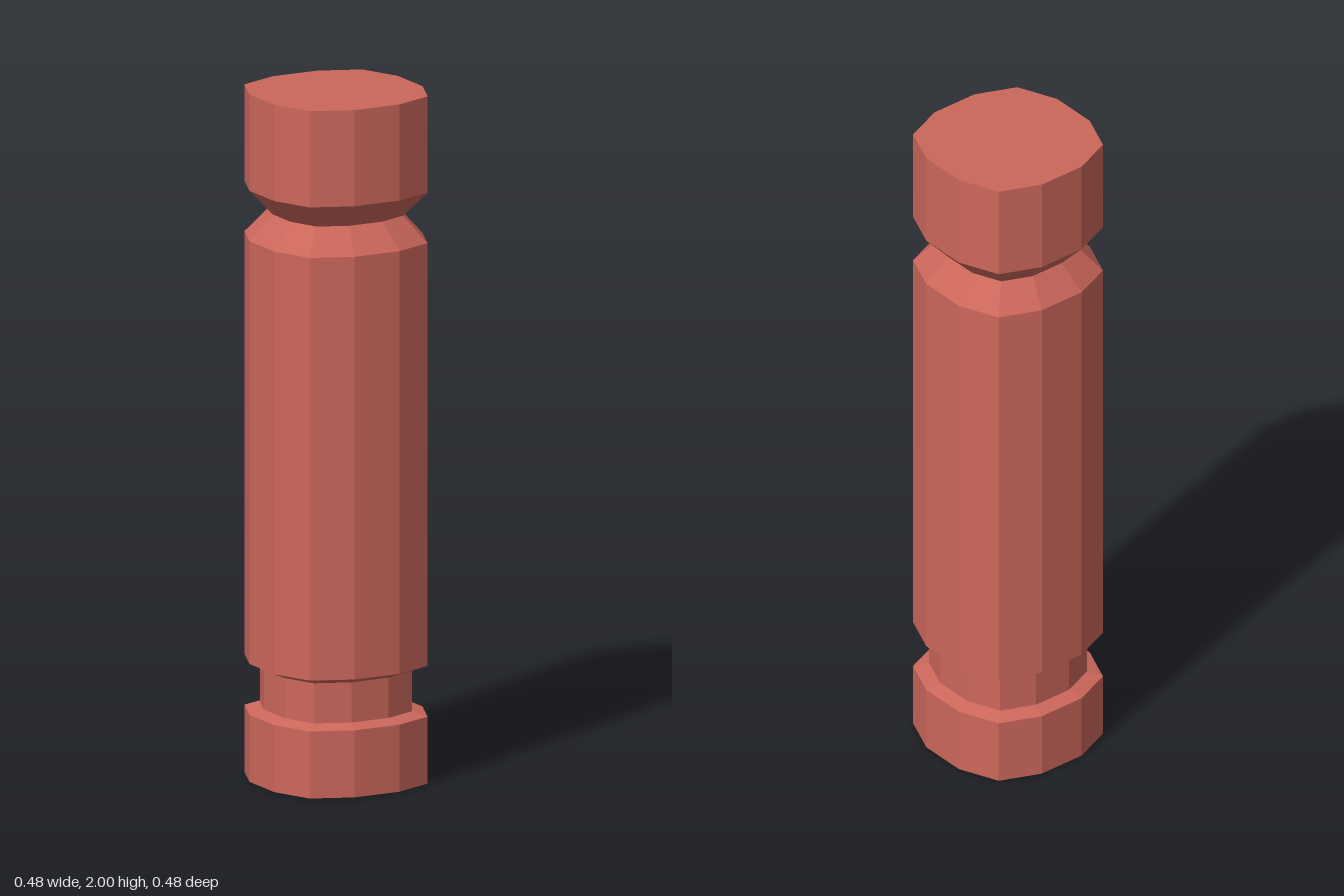
import * as THREE from 'three';

// One quarter of the twelve-sided section; the rest follows by rotation
const QUARTER = [[0.24, 0.073], [0.191, 0.191], [0.073, 0.24]];
const SECTION = [];
for (let q = 0; q < 4; q++) {
  for (const [px, pz] of QUARTER) {
    let x = px, z = pz;
    for (let k = 0; k < q; k++) [x, z] = [-z, x];
    SECTION.push([x, z]);
  }
}

// Lofts the section through [height, scale] rings, with optional end caps
function loft(rings, capBottom = false, capTop = false) {
  const n = SECTION.length;
  const pos = [];
  const index = [];
  for (const [y, s] of rings) {
    for (const [x, z] of SECTION) pos.push(x * s, y, z * s);
  }
  for (let r = 0; r < rings.length - 1; r++) {
    for (let i = 0; i < n; i++) {
      const j = (i + 1) % n;
      const a = r * n + i, b = r * n + j, c = a + n, d = b + n;
      index.push(a, c, b, b, c, d);
    }
  }
  const top = (rings.length - 1) * n;
  for (let i = 1; i < n - 1; i++) {
    if (capBottom) index.push(0, i, i + 1);
    if (capTop) index.push(top, top + i + 1, top + i);
  }
  const indexed = new THREE.BufferGeometry();
  indexed.setAttribute('position', new THREE.Float32BufferAttribute(pos, 3));
  indexed.setIndex(index);
  // Unshared vertices give every facet its own flat normal
  const geometry = indexed.toNonIndexed();
  geometry.computeVertexNormals();
  return geometry;
}

export function createModel() {
  const group = new THREE.Group();
  group.name = 'groovedPost';
  const red = new THREE.MeshStandardMaterial({ color: 0xcc675b });
  red.name = 'brickRed';
  red.flatShading = true;

  const add = (name, geometry) => {
    const mesh = new THREE.Mesh(geometry, red);
    mesh.name = name;
    group.add(mesh);
  };

  // Foot, straight-walled groove, long shaft, V-shaped groove and head
  add('foot', loft([[0, 1], [0.195, 1]], true, false));
  add('lowerGroove', loft([[0.195, 1], [0.208, 0.83], [0.325, 0.83], [0.343, 1]]));
  add('shaft', loft([[0.343, 1], [1.573, 1]]));
  add('upperGroove', loft([[1.573, 1], [1.648, 0.73], [1.72, 1]]));
  add('head', loft([[1.72, 1], [2, 1]], false, true));
  return group;
}
